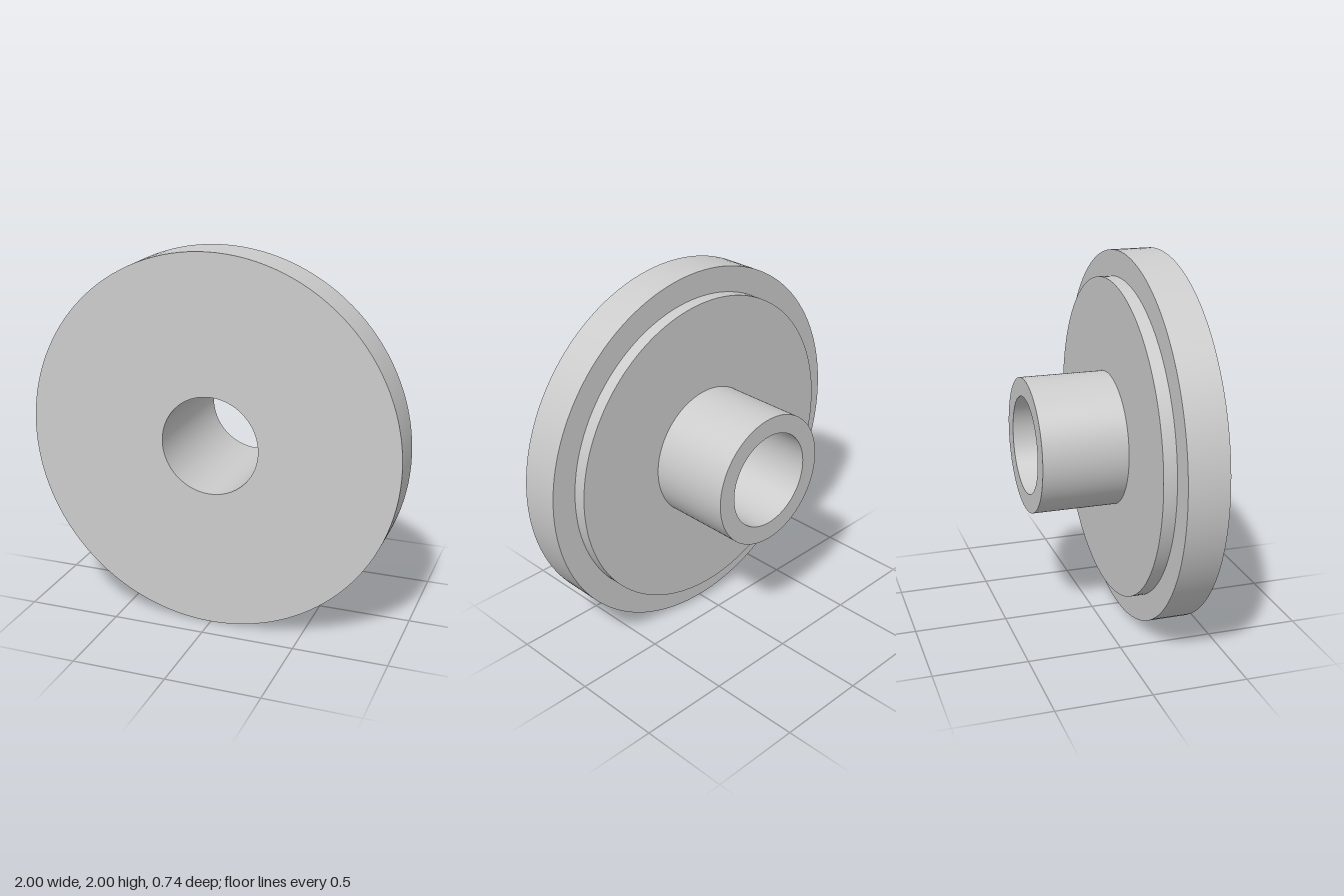
import * as THREE from 'three';
import { toCreasedNormals } from 'three/addons/utils/BufferGeometryUtils.js';

const SEGMENTS = 128;

// Radii
const FLANGE = 1, STEP = 0.862, HUB = 0.362, BORE = 0.262;
// Positions along the axis, front to back
const FRONT = 0.372, FLANGE_BACK = 0.156, STEP_BACK = 0.086, BACK = -0.372;

const material = new THREE.MeshStandardMaterial({ color: 0xcccccc });

// Turned surface from [radius, z] points, with its axis along z
function turned(name, profile) {
  const points = profile.map(([r, z]) => new THREE.Vector2(r, z));
  const lathe = new THREE.LatheGeometry(points, SEGMENTS).rotateX(Math.PI / 2);
  const mesh = new THREE.Mesh(toCreasedNormals(lathe, Math.PI / 6), material);
  mesh.name = name;
  mesh.position.y = FLANGE;
  return mesh;
}

export function createModel() {
  const model = new THREE.Group();
  model.name = 'flangedBushing';
  model.add(
    // Wide front disc
    turned('flange', [[STEP, FLANGE_BACK], [FLANGE, FLANGE_BACK], [FLANGE, FRONT], [BORE, FRONT]]),
    // Shallow raised shoulder behind the flange
    turned('shoulder', [[HUB, STEP_BACK], [STEP, STEP_BACK], [STEP, FLANGE_BACK]]),
    // Tubular hub at the rear
    turned('hub', [[BORE, BACK], [HUB, BACK], [HUB, STEP_BACK]]),
    // Through hole
    turned('bore', [[BORE, FRONT], [BORE, BACK]])
  );
  return model;
}
